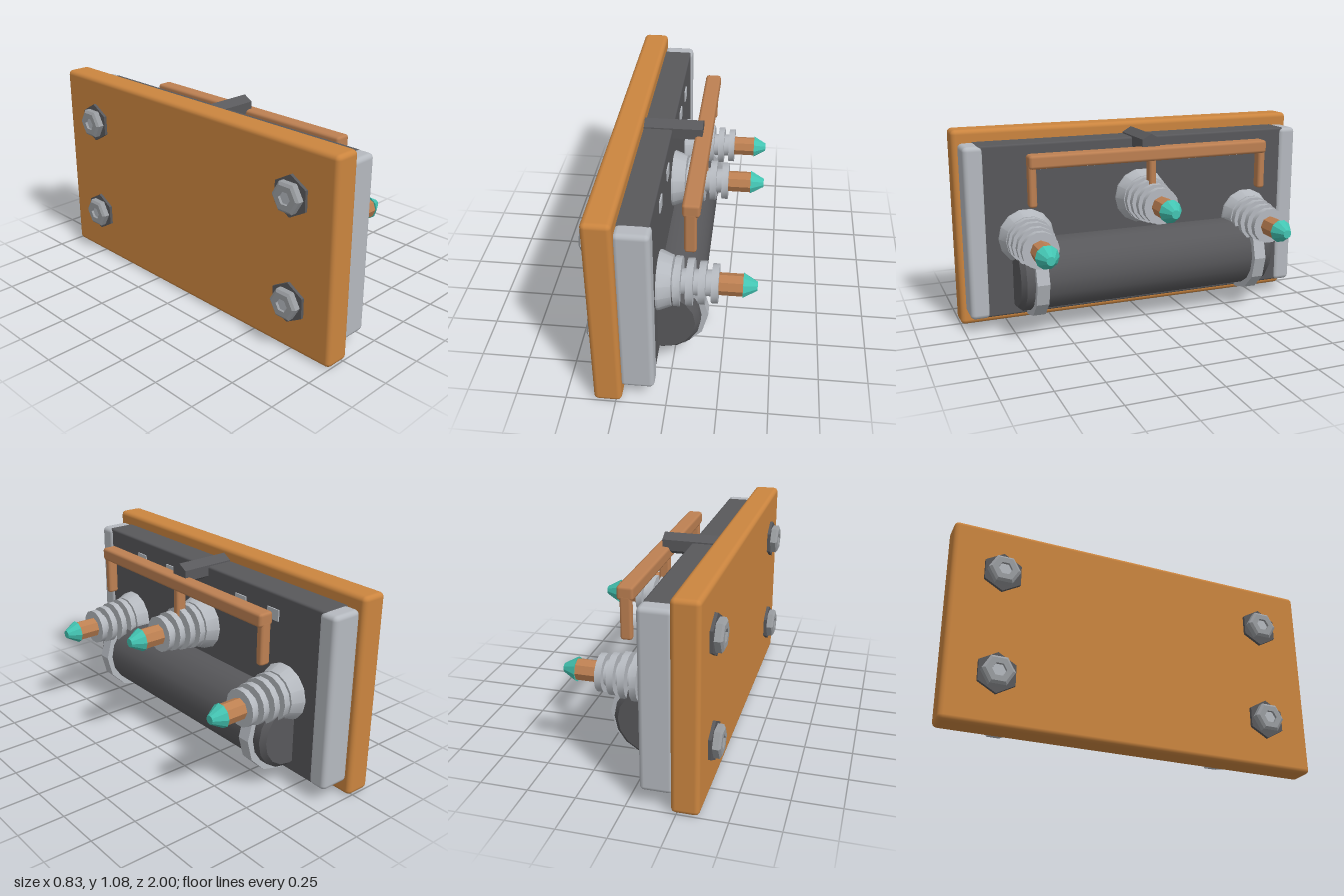
import * as THREE from 'three';
import { toCreasedNormals } from 'three/addons/utils/BufferGeometryUtils.js';
import { RoundedBoxGeometry } from 'three/addons/geometries/RoundedBoxGeometry.js';

export function createModel() {
  const model = new THREE.Group();
  const mat = (name, color) => {
    const m = new THREE.MeshStandardMaterial({ color });
    m.name = name;
    return m;
  };
  const orange = mat('orange', 0xcb853f);
  const copper = mat('copper', 0xbd8052);
  const grey = mat('lightGrey', 0xb5b9bf);
  const steel = mat('steel', 0x9a9da1);
  const dark = mat('darkGrey', 0x58585b);
  const teal = mat('teal', 0x43c4b2);

  const add = (parent, name, geometry, material, x, y, z) => {
    const mesh = new THREE.Mesh(geometry, material);
    mesh.name = name;
    mesh.position.set(x, y, z);
    parent.add(mesh);
    return mesh;
  };
  // turned solid from [radius, height] pairs, with sharp edges kept
  const turned = (profile, sides, phase = 0) => toCreasedNormals(new THREE.LatheGeometry(
    profile.map(([r, h]) => new THREE.Vector2(r, h)), sides, phase), 0.5);
  const alongX = (profile, sides, phase) => turned(profile, sides, phase).rotateZ(-Math.PI / 2);
  const alongZ = (profile, sides, phase) => turned(profile, sides, phase).rotateX(Math.PI / 2);
  const rod = (r, a, b) => [[0, a], [r, a], [r, b], [0, b]];

  // Backing plate, housing and end rails
  add(model, 'backPlate', new RoundedBoxGeometry(0.14, 1.075, 2, 2, 0.025), orange, -0.29, 0.5375, 0);
  add(model, 'housing', new RoundedBoxGeometry(0.17, 0.93, 1.8, 1, 0.012), dark, -0.155, 0.545, 0);
  for (const s of [1, -1]) {
    add(model, 'endRail', new RoundedBoxGeometry(0.17, 0.93, 0.105, 2, 0.025), grey, -0.145, 0.543, s * 0.918);
  }

  // Small light plates on the housing face
  for (const z of [0.557, 0.28, -0.315, -0.557]) {
    add(model, 'facePlate', new THREE.BoxGeometry(0.008, 0.06, 0.08), grey, -0.067, 0.9, z);
  }

  // Horizontal drum held by two straps
  const drumEnd = 0.735, drumR = 0.195;
  add(model, 'drum', alongZ([[0, -drumEnd], [drumR - 0.025, -drumEnd], [drumR, -drumEnd + 0.025],
    [drumR, drumEnd - 0.025], [drumR - 0.025, drumEnd], [0, drumEnd]], 16), dark, -0.052, 0.31, 0);
  for (const s of [1, -1]) {
    add(model, 'drumStrap', alongZ([[0.19, -0.034], [0.232, -0.034], [0.232, 0.034], [0.19, 0.034]], 12),
      grey, -0.055, 0.31, s * 0.632);
  }

  // Ribbed insulators with copper terminals and teal tips
  const ribs = [[0.01, 0.125], [0.07, 0.118], [0.13, 0.107], [0.193, 0.098]];
  const insulatorProfile = [[0, -0.08], [0.152, -0.08], [0.15, -0.06], [0.126, 0], [0.065, 0]];
  for (const [x, r] of ribs) {
    insulatorProfile.push([0.065, x], [r, x], [r, x + 0.034], [0.065, x + 0.034]);
  }
  insulatorProfile.push([0, 0.227]);
  for (const [y, z] of [[0.682, 0], [0.512, 0.655], [0.512, -0.655]]) {
    const g = new THREE.Group();
    g.name = 'terminal';
    g.position.set(0, y, z);
    model.add(g);
    add(g, 'insulator', alongX(insulatorProfile, 14), grey, 0, 0, 0);
    add(g, 'terminalRod', alongX(rod(0.056, 0.2, 0.35), 8), copper, 0, 0, 0);
    add(g, 'terminalTip', alongX([[0, 0.345], [0.063, 0.345], [0.023, 0.415], [0, 0.415]], 10), teal, 0, 0, 0);
  }

  // Copper bus bar with three hanging legs
  add(model, 'busBar', new RoundedBoxGeometry(0.086, 0.072, 1.35, 1, 0.016), copper, 0.088, 0.942, 0);
  for (const z of [0.655, 0, -0.655]) {
    add(model, 'busBarLeg', new RoundedBoxGeometry(0.06, 0.23, 0.042, 1, 0.014), copper, 0.086, 0.82, z);
  }

  // Six-sided support arm
  add(model, 'supportArm', alongX(rod(0.058, -0.23, 0.086), 6, Math.PI / 2), dark, 0, 0.988, 0);

  // Four hex bolts on the back
  for (const y of [0.82, 0.267]) {
    for (const z of [0.742, -0.742]) {
      const bolt = new THREE.Group();
      bolt.name = 'backBolt';
      bolt.position.set(0, y, z);
      model.add(bolt);
      add(bolt, 'washer', alongX(rod(0.107, -0.376, -0.35), 6, Math.PI / 2), dark, 0, 0, 0);
      add(bolt, 'nut', alongX([[0.036, -0.37], [0.036, -0.416], [0.068, -0.416], [0.083, -0.406], [0.083, -0.37]], 6),
        steel, 0, 0, 0);
      add(bolt, 'boltEnd', alongX(rod(0.037, -0.402, -0.37), 6), grey, 0, 0, 0);
    }
  }
  return model;
}
